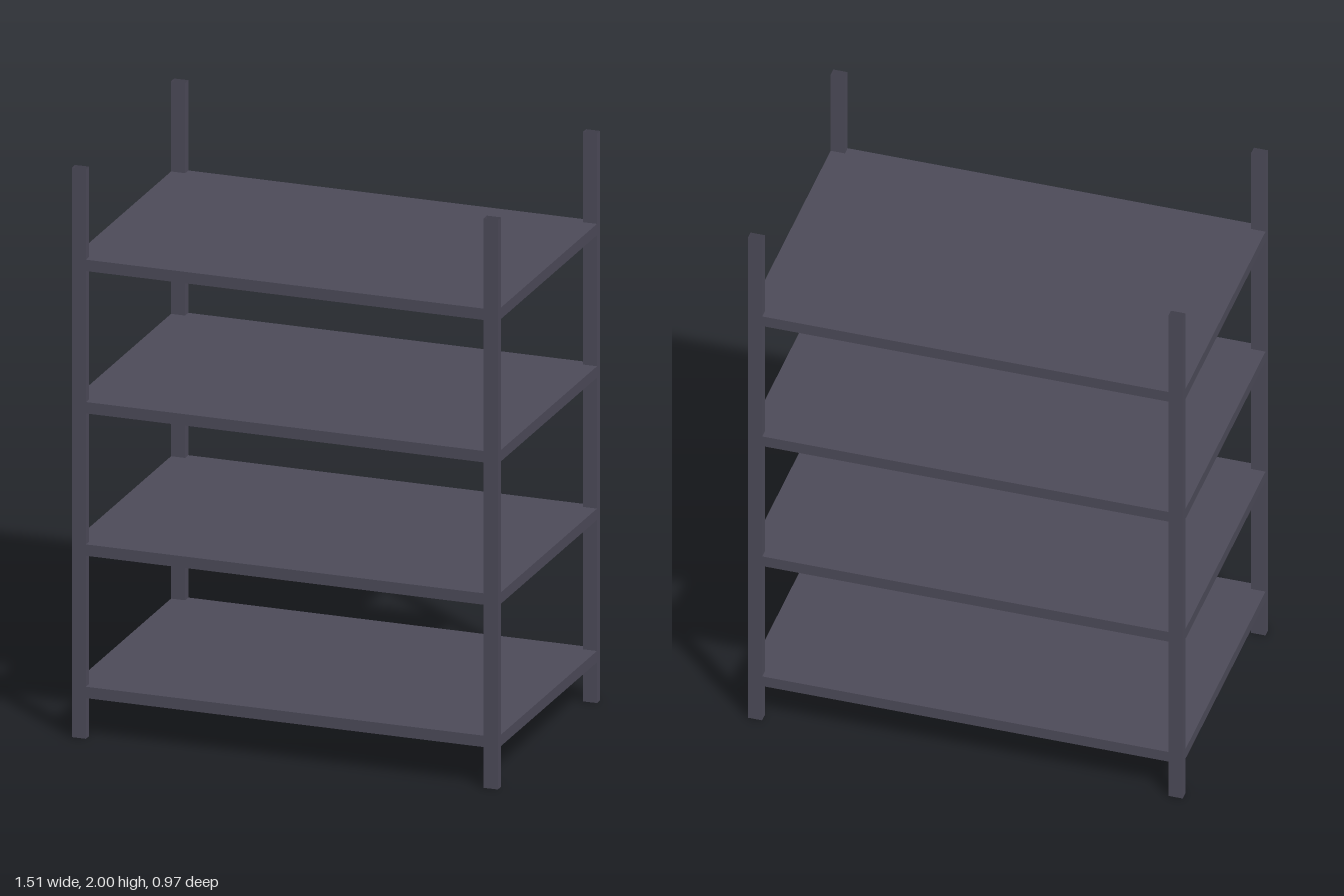
import * as THREE from 'three';

const X = 0.755, Z = 0.483;         // outer half sizes
const POST_W = 0.05, POST_D = 0.03; // post section
const SHELF_T = 0.04;

// Rectangular board outline with a notch at each corner for the posts
function shelfGeometry() {
  const x = X - POST_W, z = Z - POST_D;
  const shape = new THREE.Shape([
    [x, -Z], [x, -z], [X, -z], [X, z], [x, z], [x, Z],
    [-x, Z], [-x, z], [-X, z], [-X, -z], [-x, -z], [-x, -Z],
  ].map(([a, b]) => new THREE.Vector2(a, b)));
  return new THREE.ExtrudeGeometry(shape, { depth: SHELF_T, bevelEnabled: false })
    .rotateX(-Math.PI / 2);
}

export function createModel() {
  const group = new THREE.Group();
  const metal = new THREE.MeshStandardMaterial({
    color: 0x4c4a58, flatShading: true, side: THREE.DoubleSide,
  });
  metal.name = 'dark grey metal';

  // Four open-ended rectangular tube posts
  const postGeometry = new THREE.CylinderGeometry(Math.SQRT1_2, Math.SQRT1_2, 2, 4, 1, true)
    .rotateY(Math.PI / 4)
    .scale(POST_W, 1, POST_D);
  for (const [sz, depthName] of [[1, 'front'], [-1, 'back']]) {
    for (const [sx, sideName] of [[1, 'Left'], [-1, 'Right']]) {
      const post = new THREE.Mesh(postGeometry, metal);
      post.name = `${depthName}${sideName}Post`;
      post.position.set(sx * (X - POST_W / 2), 1, sz * (Z - POST_D / 2));
      group.add(post);
    }
  }

  // Four evenly spaced shelves
  const boardGeometry = shelfGeometry();
  for (let i = 0; i < 4; i++) {
    const shelf = new THREE.Mesh(boardGeometry, metal);
    shelf.name = `shelf${i + 1}`;
    shelf.position.y = 0.143 + i * 0.5;
    group.add(shelf);
  }
  return group;
}
